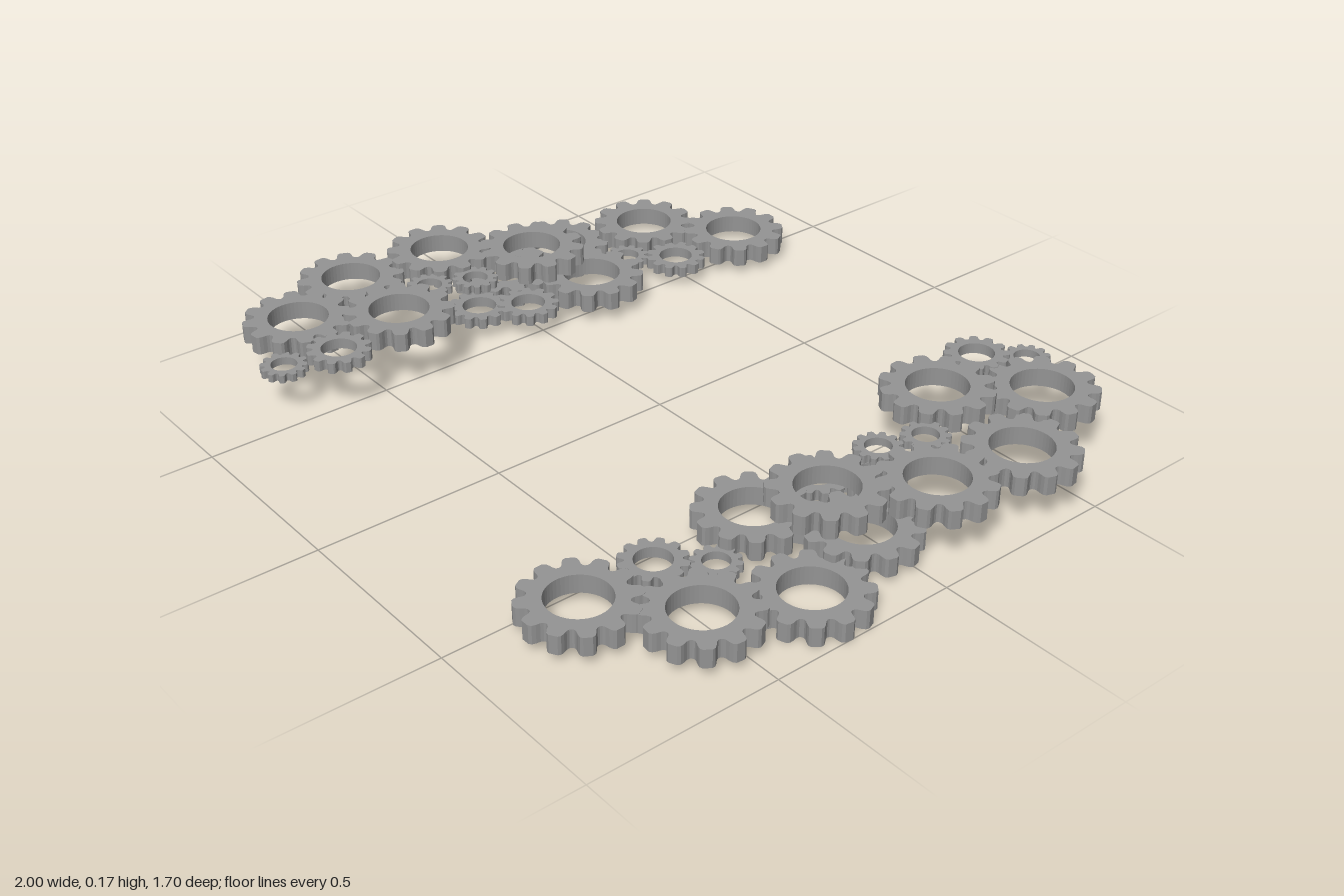
import * as THREE from 'three';

const material = new THREE.MeshStandardMaterial({ color: 0x949494 });
const TEETH = 12;

// One gear of outer radius 1 with a round bore, lying flat and centred on its height
function gearGeometry() {
  const outline = [];
  const step = (Math.PI * 2) / TEETH;
  // Tooth profile: [fraction of the pitch, radius]
  const tooth = [
    [-0.5, 0.79], [-0.41, 0.8], [-0.34, 0.84], [-0.29, 0.91],
    [-0.23, 0.97], [-0.14, 1], [0.14, 1], [0.23, 0.97],
    [0.29, 0.91], [0.34, 0.84], [0.41, 0.8],
  ];
  for (let i = 0; i < TEETH; i++) {
    for (const [f, r] of tooth) {
      const a = (i + f) * step;
      outline.push(new THREE.Vector2(r * Math.cos(a), r * Math.sin(a)));
    }
  }
  const shape = new THREE.Shape(outline);
  shape.holes.push(new THREE.Path().absarc(0, 0, 0.55, 0, Math.PI * 2, true));
  const thickness = 0.34;
  const geometry = new THREE.ExtrudeGeometry(shape, {
    depth: thickness, bevelEnabled: false, curveSegments: 24,
  });
  geometry.translate(0, 0, -thickness / 2);
  geometry.rotateX(-Math.PI / 2);
  return geometry;
}

// Gears of one cluster: [name, x, z, radius, height of the centre]
const GEARS = [
  // lower layer
  ['lowerLargeGear', -0.53, -0.708, 0.143, 0.05],
  ['lowerLargeGear', -0.735, -0.54, 0.143, 0.049],
  ['lowerLargeGear', -0.824, -0.295, 0.143, 0.0245],
  ['lowerLargeGear', -0.555, -0.209, 0.143, 0.063],
  ['lowerLargeGear', -0.755, -0.058, 0.143, 0.044],
  ['lowerSmallGear', -0.525, -0.487, 0.083, 0.047],
  ['lowerTinyGear', -0.619, -0.385, 0.061, 0.047],
  ['lowerSmallGear', -0.547, 0.013, 0.083, 0.057],
  ['lowerSmallGear', -0.627, 0.118, 0.083, 0.05],
  // upper layer
  ['upperLargeGear', -0.68, -0.099, 0.143, 0.133],
  ['upperLargeGear', -0.824, 0.11, 0.143, 0.133],
  ['upperLargeGear', -0.859, 0.373, 0.143, 0.118],
  ['upperLargeGear', -0.578, 0.398, 0.143, 0.148],
  ['upperLargeGear', -0.734, 0.607, 0.143, 0.13],
  ['upperTinyGear', -0.637, 0.12, 0.061, 0.136],
  ['upperTinyGear', -0.68, 0.238, 0.061, 0.136],
  ['upperSmallGear', -0.525, 0.612, 0.083, 0.142],
  ['upperTinyGear', -0.59, 0.735, 0.061, 0.114],
];

function gearCluster(name, geometry) {
  const cluster = new THREE.Group();
  cluster.name = name;
  for (const [part, x, z, radius, y] of GEARS) {
    const gear = new THREE.Mesh(geometry, material);
    gear.name = part;
    gear.position.set(x, y, z);
    gear.scale.setScalar(radius);
    // Turn the gears a little differently so that the teeth look meshed
    gear.rotation.y = (x + z) * 3;
    cluster.add(gear);
  }
  return cluster;
}

export function createModel() {
  const model = new THREE.Group();
  model.name = 'gearClusters';
  const geometry = gearGeometry();
  const right = gearCluster('rightGearCluster', geometry);
  // The second cluster is the first one swung about the vertical axis
  const left = gearCluster('leftGearCluster', geometry);
  left.rotation.y = Math.PI + 0.062;
  left.position.set(0.019, 0, 0.033);
  model.add(right, left);
  return model;
}
